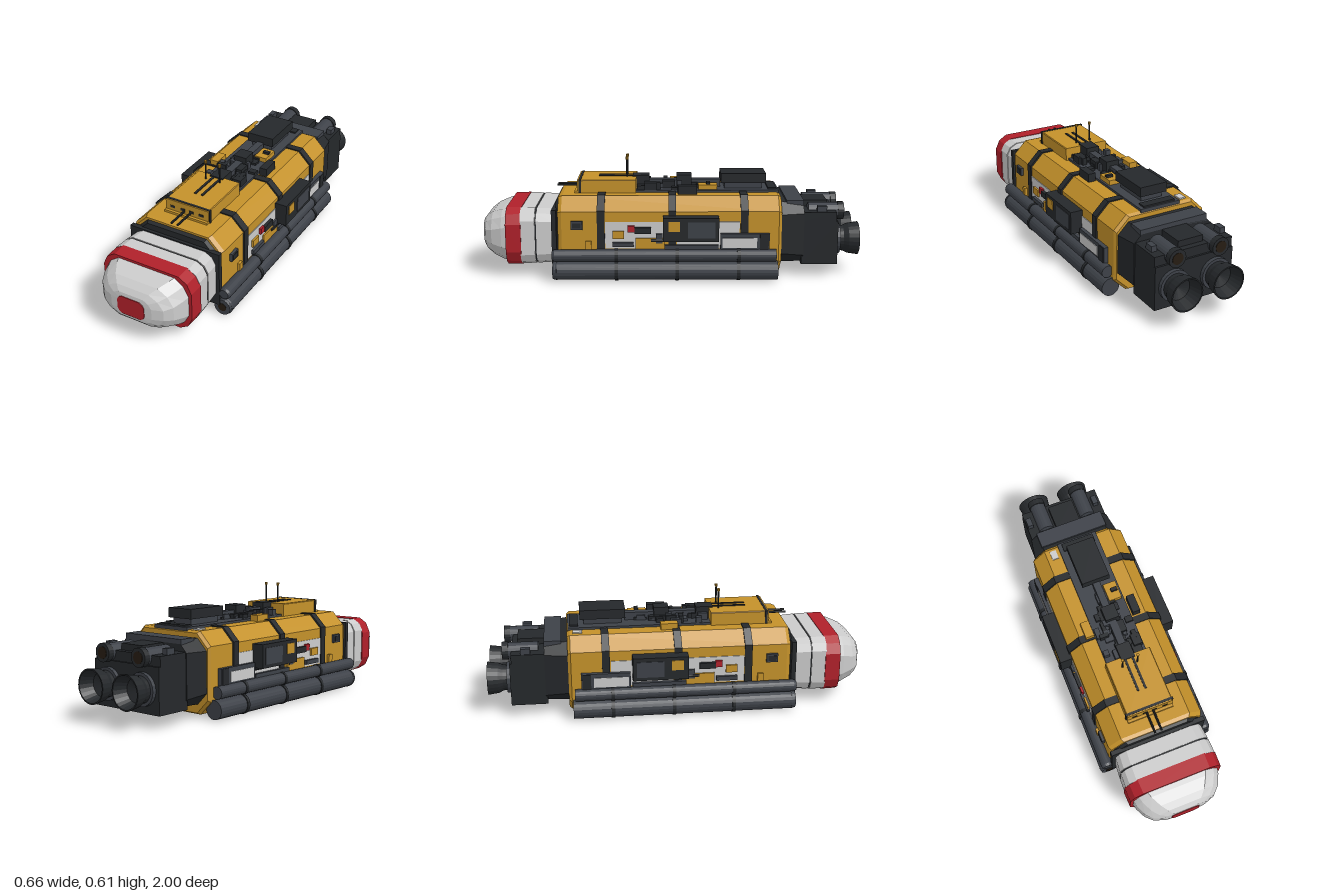
import * as THREE from 'three';

const mat = (color, side = THREE.FrontSide) => new THREE.MeshStandardMaterial({ color, flatShading: true, side });
const YELLOW = mat(0xc4912a), DARK = mat(0x25282b), STEEL = mat(0x3d4148), GREY = mat(0xcccccc);
const RED = mat(0xb0202a), BROWN = mat(0x251c12), BELL = mat(0x25282b, THREE.DoubleSide);

// Chamfered rectangle, counter-clockwise seen from +z; bulge > 0 adds a mid point per corner
function section([z, hw, y0, y1, cx, cy = cx], bulge) {
  const pts = [], mid = (y0 + y1) / 2, hh = (y1 - y0) / 2;
  for (const [sx, sy] of [[1, 1], [-1, 1], [-1, -1], [1, -1]]) {
    const corner = [[hw, hh - cy]];
    if (bulge) corner.push([hw - cx * (0.5 - bulge), hh - cy * (0.5 - bulge)]);
    corner.push([hw - cx, hh]);
    if (sx * sy < 0) corner.reverse();
    for (const [x, y] of corner) pts.push([sx * x, mid + sy * y, z]);
  }
  return pts;
}

// Skin through sections of increasing z, closed at both ends
function loft(sections, bulge = 0) {
  const rings = sections.map(s => section(s, bulge)), n = rings[0].length, v = [];
  const tri = (a, b, c) => v.push(...a, ...b, ...c);
  for (let i = 0; i < rings.length - 1; i++) {
    for (let j = 0; j < n; j++) {
      const k = (j + 1) % n, [a, b, c, d] = [rings[i][j], rings[i][k], rings[i + 1][k], rings[i + 1][j]];
      tri(a, b, c);
      tri(a, c, d);
    }
  }
  const back = rings[0], front = rings[rings.length - 1];
  for (let j = 1; j < n - 1; j++) {
    tri(back[0], back[j + 1], back[j]);
    tri(front[0], front[j], front[j + 1]);
  }
  const g = new THREE.BufferGeometry();
  g.setAttribute('position', new THREE.Float32BufferAttribute(v, 3));
  g.computeVertexNormals();
  return g;
}

export function createModel() {
  const model = new THREE.Group();
  model.name = 'spacecraft';
  const add = (name, geo, material, x = 0, y = 0, z = 0) => {
    const m = new THREE.Mesh(geo, material);
    m.name = name;
    m.position.set(x, y, z);
    model.add(m);
    return m;
  };
  // Box by its extents on each axis
  const box = (name, material, [x0, x1], [y0, y1], [z0, z1]) =>
    add(name, new THREE.BoxGeometry(Math.abs(x1 - x0), y1 - y0, z1 - z0), material,
      (x0 + x1) / 2, (y0 + y1) / 2, (z0 + z1) / 2);
  // Cylinder along z
  const rod = (name, material, r, x, y, z0, z1, rFront = r, seg = 20) =>
    add(name, new THREE.CylinderGeometry(rFront, r, z1 - z0, seg).rotateX(Math.PI / 2), material, x, y, (z0 + z1) / 2);

  // Main hull with bevelled ends
  add('hull', loft([
    [-0.58, 0.25, 0.03, 0.425, 0.07], [-0.565, 0.26, 0.022, 0.435, 0.07],
    [0.565, 0.26, 0.022, 0.435, 0.07], [0.585, 0.25, 0.03, 0.428, 0.07]]), YELLOW);
  for (const z of [0.36, -0.01, -0.385])
    add('hullStrap', loft([[z - 0.02, 0.267, 0.016, 0.441, 0.07], [z + 0.02, 0.267, 0.016, 0.441, 0.07]]), DARK);

  // Front collar and bulkhead plate
  add('frontCollar', loft([[0.58, 0.24, 0.037, 0.421, 0.065], [0.6, 0.225, 0.05, 0.405, 0.06]]), DARK);
  box('bulkheadPlate', DARK, [-0.26, 0.26], [0.065, 0.372], [0.592, 0.617]);

  // Nose: two grey sections, groove, red band, faceted dome and red cap
  add('noseRearSection', loft([[0.61, 0.24, 0.075, 0.365, 0.06], [0.698, 0.247, 0.071, 0.37, 0.06]], 0.15), GREY);
  add('noseGroove', loft([[0.69, 0.243, 0.075, 0.366, 0.06], [0.715, 0.243, 0.075, 0.366, 0.06]], 0.15), DARK);
  add('noseFrontSection', loft([[0.706, 0.247, 0.071, 0.37, 0.06], [0.782, 0.25, 0.069, 0.371, 0.06]], 0.15), GREY);
  add('noseBand', loft([[0.778, 0.255, 0.065, 0.374, 0.07, 0.08], [0.858, 0.253, 0.066, 0.373, 0.07, 0.08]], 0.15), RED);
  add('noseDome', loft([
    [0.85, 0.238, 0.077, 0.361, 0.075, 0.085], [0.885, 0.23, 0.083, 0.354, 0.08, 0.085],
    [0.94, 0.205, 0.1, 0.335, 0.085, 0.08], [0.975, 0.17, 0.122, 0.31, 0.08, 0.065],
    [0.994, 0.115, 0.145, 0.285, 0.045, 0.04], [0.997, 0.076, 0.162, 0.267, 0.025]], 0.12), GREY);
  add('noseCap', loft([[0.985, 0.078, 0.16, 0.267, 0.025], [1, 0.076, 0.162, 0.265, 0.025]], 0.12), RED);

  for (const s of [1, -1]) {
    // Side tanks with rings and end ports
    rod('lowerTank', STEEL, 0.049, s * 0.272, 0.054, -0.56, 0.6);
    rod('lowerTankFrontRim', STEEL, 0.051, s * 0.272, 0.054, 0.59, 0.612, 0.045);
    rod('lowerTankPort', BROWN, 0.023, s * 0.272, 0.054, 0.6, 0.614);
    rod('upperTank', STEEL, 0.032, s * 0.283, 0.138, -0.55, 0.6);
    rod('upperTankCap', STEEL, 0.032, s * 0.283, 0.138, 0.6, 0.614, 0.025);
    for (const z of [0.28, -0.035, -0.355]) {
      rod('lowerTankRing', DARK, 0.0535, s * 0.272, 0.0545, z - 0.009, z + 0.009);
      rod('upperTankRing', DARK, 0.035, s * 0.283, 0.138, z - 0.009, z + 0.009);
    }

    // Flank panels and equipment: material, depth outward, y range, z range
    const flank = [
      ['flankPanel', GREY, 0.264, [0.17, 0.312], [0.035, 0.338]],
      ['flankPanel', GREY, 0.264, [0.17, 0.312], [-0.36, -0.035]],
      ['flankCover', YELLOW, 0.272, [0.165, 0.225], [0.03, 0.18]],
      ['flankCover', YELLOW, 0.275, [0.225, 0.265], [0.24, 0.3]],
      ['flankRail', STEEL, 0.28, [0.182, 0.205], [0.19, 0.3]],
      ['redUnit', RED, 0.277, [0.258, 0.293], [0.185, 0.22]],
      ['redUnitBracket', DARK, 0.281, [0.253, 0.285], [0.1, 0.185]],
      ['smallUnit', STEEL, 0.276, [0.2, 0.25], [0.04, 0.075]],
      ['hatch', STEEL, 0.275, [0.272, 0.317], [0.455, 0.515]],
      ['hatchPane', DARK, 0.278, [0.28, 0.308], [0.463, 0.507]],
      ['rearUnit', STEEL, 0.283, [0.165, 0.252], [-0.515, -0.26]],
      ['rearUnitPanel', GREY, 0.286, [0.178, 0.23], [-0.45, -0.27]],
      ['rearUnitSlat', DARK, 0.287, [0.165, 0.25], [-0.51, -0.465]],
      ['sideModule', DARK, 0.327, [0.222, 0.345], [-0.25, 0.038]],
      ['sideModulePanel', YELLOW, 0.331, [0.275, 0.328], [-0.05, 0.01]],
      ['sideModuleVent', STEEL, 0.33, [0.24, 0.325], [-0.23, -0.09]],
      ['pipeRack', STEEL, 0.282, [0.165, 0.19], [-0.25, 0.03]],
    ];
    for (const [name, m, depth, y, z] of flank) box(name, m, [s * 0.25, s * depth], y, z);
    rod('flankPipe', DARK, 0.008, s * 0.272, 0.215, -0.25, 0.1, 0.008, 8);
    box('tankBracket', YELLOW, [s * 0.25, s * 0.275], [0.165, 0.21], [0.41, 0.44]);

    // Main engine bells and upper thrusters
    const bell = [[0.05, 0], [0.066, 0.025], [0.068, 0.05], [0.08, 0.075], [0.088, 0.13], [0.081, 0.13], [0.06, 0.06], [0, 0.04]]
      .map(([r, h]) => new THREE.Vector2(r, h));
    add('engineBell', new THREE.LatheGeometry(bell, 24).rotateX(-Math.PI / 2), BELL, s * 0.118, 0.187, -0.87);
    rod('engineMount', STEEL, 0.082, s * 0.118, 0.187, -0.9, -0.87);
    rod('upperThruster', STEEL, 0.043, s * 0.122, 0.34, -0.9, -0.73);
    rod('upperThrusterRim', DARK, 0.047, s * 0.122, 0.34, -0.917, -0.885);
    rod('upperThrusterPort', BROWN, 0.03, s * 0.122, 0.34, -0.919, -0.9);

    // Paired cannon tubes and roof rails
    rod('frontProbe', DARK, 0.006, s * 0.018, 0.459, 0.49, 0.605, 0.006, 8);
    box('roofRail', DARK, [s * 0.014, s * 0.026], [0.503, 0.51], [0.2, 0.38]);
    for (const x of [0.035, 0.083])
      box('cabinWindow', DARK, [s * (x - 0.013 + (x < 0.05 ? -0.01 : 0)), s * (x + 0.013 + (x < 0.05 ? -0.01 : 0))], [0.463, 0.476], [0.49, 0.492]);
  }

  // Rear engine block
  add('rearCollar', loft([[-0.7, 0.225, 0.08, 0.385, 0.04], [-0.575, 0.245, 0.075, 0.403, 0.06]]), DARK);
  box('engineBlock', DARK, [-0.22, 0.22], [0.07, 0.3], [-0.88, -0.69]);
  box('engineBlockTop', DARK, [-0.22, 0.22], [0.3, 0.35], [-0.87, -0.69]);
  box('engineCrossBar', STEEL, [-0.19, 0.19], [0.36, 0.408], [-0.7, -0.61]);
  box('engineBridge', DARK, [-0.07, 0.07], [0.34, 0.383], [-0.84, -0.69]);
  for (const x of [-0.2, 0.19]) box('engineValve', STEEL, [x - 0.015, x + 0.015], [0.34, 0.38], [-0.82, -0.77]);

  // Roof cabin with front eyes
  add('cabin', loft([[0.18, 0.125, 0.42, 0.505, 0.004], [0.49, 0.125, 0.42, 0.505, 0.004]]), YELLOW);
  box('cabinFrame', DARK, [-0.13, 0.13], [0.43, 0.507], [0.47, 0.483]);
  box('cabinSill', YELLOW, [-0.125, 0.125], [0.43, 0.447], [0.48, 0.505]);
  for (const x of [-0.048, 0.035]) {
    add('antennaMast', new THREE.CylinderGeometry(0.0045, 0.0045, 0.1, 8), DARK, x, 0.55, 0.23);
    add('antennaTip', new THREE.CylinderGeometry(0.008, 0.007, 0.015, 8), YELLOW, x, 0.606, 0.23);
  }

  // Roof machinery deck: x range, y range, z range
  box('machineryDeck', STEEL, [-0.112, 0.112], [0.425, 0.447], [-0.575, 0.18]);
  const machinery = [
    ['largeHousing', DARK, [-0.078, 0.076], [0.478, 0.528], [-0.51, -0.27]],
    ['housingBase', STEEL, [-0.06, 0.06], [0.44, 0.48], [-0.49, -0.29]],
    ['sensorBlock', DARK, [-0.04, 0.035], [0.44, 0.512], [0.11, 0.2]],
    ['sensorBlock', DARK, [-0.035, 0.04], [0.44, 0.515], [-0.115, -0.035]],
    ['spineDuct', STEEL, [-0.02, 0.02], [0.44, 0.488], [-0.27, 0.12]],
    ['yellowLocker', YELLOW, [0.03, 0.1], [0.44, 0.472], [-0.25, -0.15]],
    ['yellowLocker', YELLOW, [-0.162, -0.115], [0.43, 0.468], [-0.09, 0]],
    ['sideCabinet', DARK, [0.12, 0.162], [0.43, 0.48], [-0.14, -0.04]],
    ['greyCase', GREY, [-0.165, -0.13], [0.43, 0.442], [-0.55, -0.5]],
    ['rearVent', DARK, [-0.09, 0.09], [0.44, 0.455], [-0.565, -0.52]],
  ];
  for (const part of machinery) box(...part);

  // Scattered small machinery
  let seed = 7;
  const rnd = () => (seed = (seed * 16807) % 2147483647) / 2147483647;
  for (let i = 0; i < 40; i++) {
    const x = -0.095 + 0.19 * rnd(), z = -0.25 + 0.4 * rnd(), w = 0.01 + 0.016 * rnd(), d = 0.01 + 0.025 * rnd();
    box('smallMachinery', i % 3 ? DARK : STEEL, [x - w, x + w], [0.44, 0.452 + 0.036 * rnd()], [z - d, z + d]);
  }
  return model;
}
